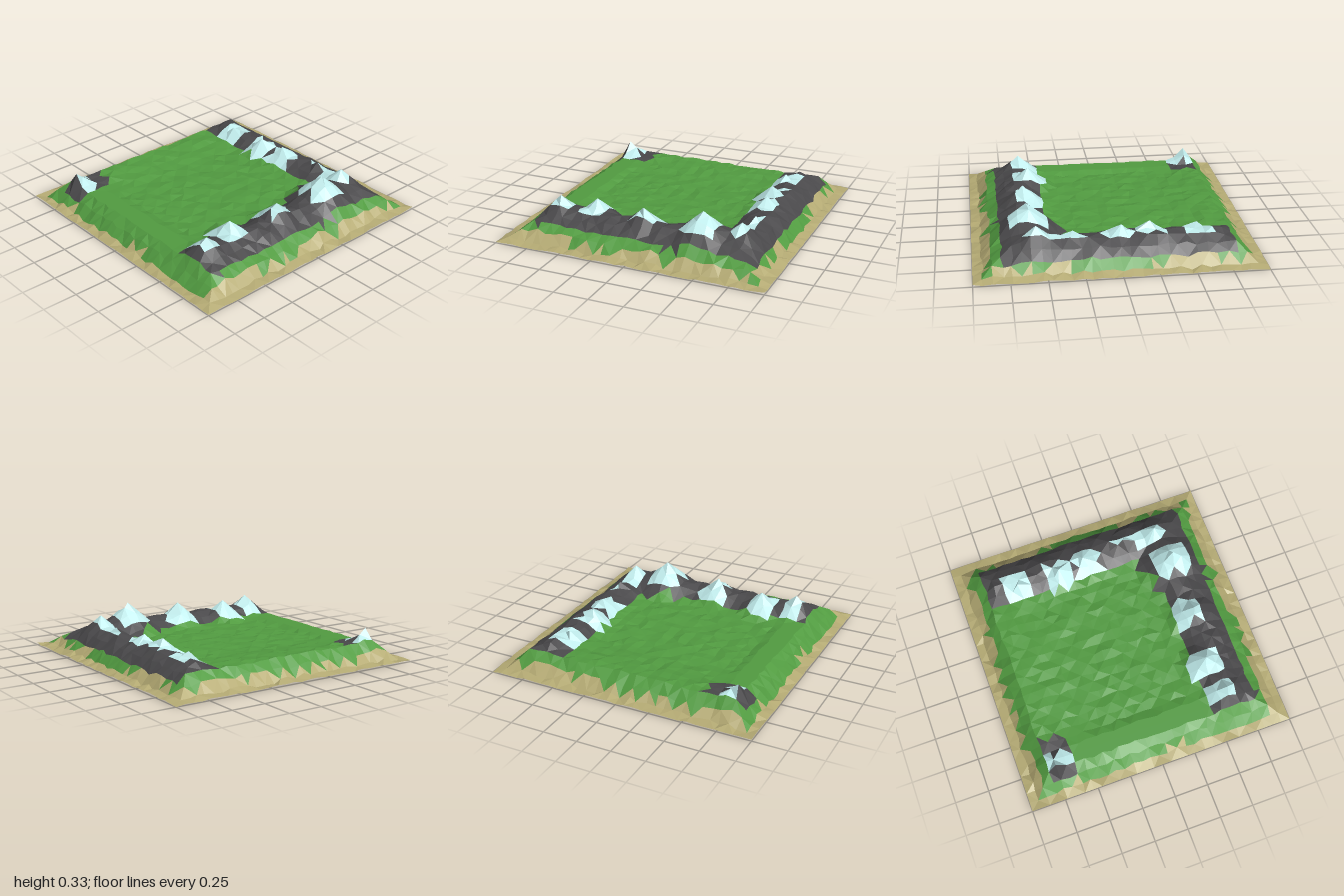
import * as THREE from 'three';

const N = 30; // grid cells per side

// small repeatable noise in -1..1
function noise(i, j, k = 0) {
  const s = Math.sin(i * 127.1 + j * 311.7 + k * 74.7) * 43758.5453;
  return (s - Math.floor(s)) * 2 - 1;
}

// piecewise linear lookup
function ramp(points, t) {
  for (let i = 1; i < points.length; i++) {
    const [a, ya] = points[i - 1], [b, yb] = points[i];
    if (t <= b) return ya + (yb - ya) * Math.max(0, (t - a) / (b - a));
  }
  return points[points.length - 1][1];
}

// summits: x, z, height, then the snow cap's x and z ranges
const PEAKS = [
  [-0.56, -0.62, 0.215, -0.66, -0.45, -0.75, -0.54],
  [-0.23, -0.62, 0.24, -0.35, -0.16, -0.7, -0.5],
  [-0.03, -0.65, 0.235, -0.1, 0.09, -0.74, -0.55],
  [0.31, -0.69, 0.225, 0.23, 0.4, -0.74, -0.66],
  [0.56, -0.68, 0.27, 0.38, 0.62, -0.75, -0.61],
  [0.61, -0.42, 0.33, 0.48, 0.75, -0.55, -0.3],
  [0.61, 0.03, 0.28, 0.48, 0.68, -0.09, 0.11],
  [0.55, 0.42, 0.265, 0.42, 0.67, 0.33, 0.54],
  [0.61, 0.68, 0.27, 0.48, 0.68, 0.6, 0.75],
  [-0.74, 0.79, 0.23, -0.81, -0.61, 0.69, 0.81],
];

// rock ground as rectangles: x0, x1, z0, z1
const ROCK = [
  [-0.8, 0.81, -0.87, -0.54],
  [0.48, 0.82, -0.87, 0.81],
  [0.36, 0.6, -0.6, -0.42],
  [0.43, 0.6, -0.5, -0.22],
  [-0.8, -0.59, 0.56, 0.87],
];
const inside = (x, z, [x0, x1, z0, z1]) => x > x0 && x < x1 && z > z0 && z < z1;

// distance from a point to a ridge line running along x or z
function ridgeDistance(x, z) {
  const back = Math.hypot(x - THREE.MathUtils.clamp(x, -0.68, 0.62), z + 0.68);
  const side = Math.hypot(x - 0.63, z - THREE.MathUtils.clamp(z, -0.68, 0.7));
  return Math.min(back, side);
}

function height(x, z, i, j) {
  const d = 1 - Math.max(Math.abs(x), Math.abs(z));
  if (d < 0.03) return Math.max(0, 0.01 + 0.006 * noise(i, j, 3));
  // rising coast
  const coast = ramp([[0, 0.01], [0.06, 0.015], [0.13, 0.08], [0.2, 0.155], [0.27, 0.23], [0.36, 0.4]], d);
  // meadow with a raised western shelf
  let top = ramp([[-0.7, 0.138], [-0.6, 0.125], [-0.45, 0.112]], x) + 0.008 * noise(i, j, 4);
  if (z > 0.65) top = Math.max(top, 0.128);
  // mountain chain
  top = Math.max(top, ramp([[0, 0.185], [0.07, 0.175], [0.17, 0.11], [0.25, 0]], ridgeDistance(x, z)) + 0.012 * noise(i, j, 5));
  for (const [px, pz, h] of PEAKS) top = Math.max(top, h - 0.85 * Math.hypot(x - px, z - pz));
  return Math.max(0, Math.min(top, coast + 0.01 * noise(i, j, 6)));
}

// grid of corners, slightly shaken away from the border
function buildCorners() {
  const grid = [];
  for (let j = 0; j <= N; j++) {
    for (let i = 0; i <= N; i++) {
      let x = (i / N) * 2 - 1, z = (j / N) * 2 - 1;
      const border = i === 0 || j === 0 || i === N || j === N;
      if (!border) {
        x += 0.011 * noise(i, j, 1);
        z += 0.011 * noise(i, j, 2);
      }
      grid.push(new THREE.Vector3(x, height(x, z, i, j), z));
    }
  }
  // the closest corner becomes the exact summit
  for (const [px, pz, h] of PEAKS) {
    const i = Math.round((px + 1) / 2 * N), j = Math.round((pz + 1) / 2 * N);
    grid[j * (N + 1) + i].set(px, h, pz);
  }
  grid[0].y = 0;
  return grid;
}

// ground type of one triangle from its centre
function groundType(x, z, i, j) {
  if (PEAKS.some((p) => inside(x, z, p.slice(3)))) return 'snow';
  if (ROCK.some((r) => inside(x, z, r))) return 'rock';
  const dx = 1 - Math.abs(x), dz = 1 - Math.abs(z);
  let width = 0.115;
  if (dz < dx) width = z > 0 ? 0.07 : (x > -0.65 && x < -0.22 ? 0.14 : 0.1);
  const ragged = 0.035 * noise(Math.floor(i / 2), Math.floor(j / 2), 7);
  return Math.min(dx, dz) < Math.max(0.065, width + ragged) ? 'sand' : 'grass';
}

export function createModel() {
  const group = new THREE.Group();
  group.name = 'island';
  const corners = buildCorners();
  const faces = { sand: [], grass: [], rock: [], snow: [] };

  // two triangles per cell, diagonals alternating
  for (let j = 0; j < N; j++) {
    for (let i = 0; i < N; i++) {
      const a = corners[j * (N + 1) + i], b = corners[j * (N + 1) + i + 1];
      const c = corners[(j + 1) * (N + 1) + i], d = corners[(j + 1) * (N + 1) + i + 1];
      const pair = (i + j) % 2 ? [[a, c, b], [b, c, d]] : [[a, c, d], [a, d, b]];
      for (const tri of pair) {
        const x = (tri[0].x + tri[1].x + tri[2].x) / 3;
        const z = (tri[0].z + tri[1].z + tri[2].z) / 3;
        faces[groundType(x, z, i, j)].push(...tri);
      }
    }
  }

  // one mesh per kind of ground
  const parts = [
    ['beach', 'sand', 0xb5ab74],
    ['meadow', 'grass', 0x529c41],
    ['mountains', 'rock', 0x4a494b],
    ['snowCaps', 'snow', 0xc2eeee],
  ];
  for (const [name, type, color] of parts) {
    const geometry = new THREE.BufferGeometry().setFromPoints(faces[type]);
    geometry.computeVertexNormals();
    const material = new THREE.MeshStandardMaterial({ color, flatShading: true, side: THREE.DoubleSide });
    const mesh = new THREE.Mesh(geometry, material);
    mesh.name = name;
    group.add(mesh);
  }
  return group;
}
